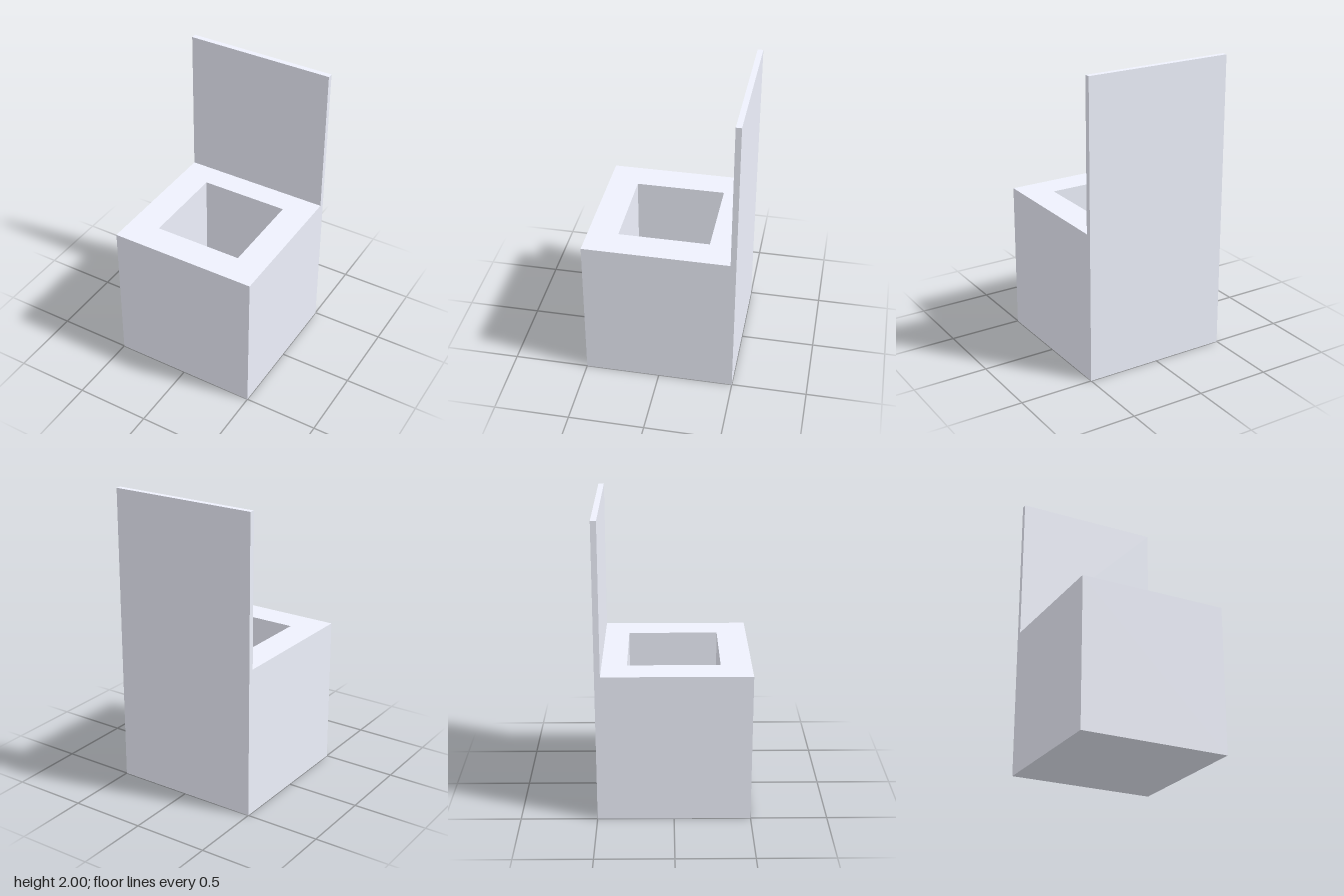
import * as THREE from 'three';

export function createModel() {
  const group = new THREE.Group();
  const material = new THREE.MeshStandardMaterial({ color: 0xeef1fc, flatShading: true });

  const outer = 0.5, inner = 0.3, height = 1, floor = 0.2;
  const panelHeight = 1, panelThickness = 0.037;

  // Hollow square box, closed at the bottom: a four-sided lathe of its wall section
  const section = [
    [0, 0], [outer, 0], [outer, height], [inner, height], [inner, floor], [0, floor],
  ].map(([r, y]) => new THREE.Vector2(r * Math.SQRT2, y));
  const box = new THREE.Mesh(
    new THREE.LatheGeometry(section, 4, Math.PI / 4).toNonIndexed(), material);
  box.geometry.computeVertexNormals();
  box.name = 'hollowBox';
  group.add(box);

  // Thin upright panel standing flush with the back edge
  const panel = new THREE.Mesh(
    new THREE.BoxGeometry(outer * 2, panelHeight, panelThickness), material);
  panel.position.set(0, height + panelHeight / 2, -outer + panelThickness / 2);
  panel.name = 'backPanel';
  group.add(panel);

  return group;
}
